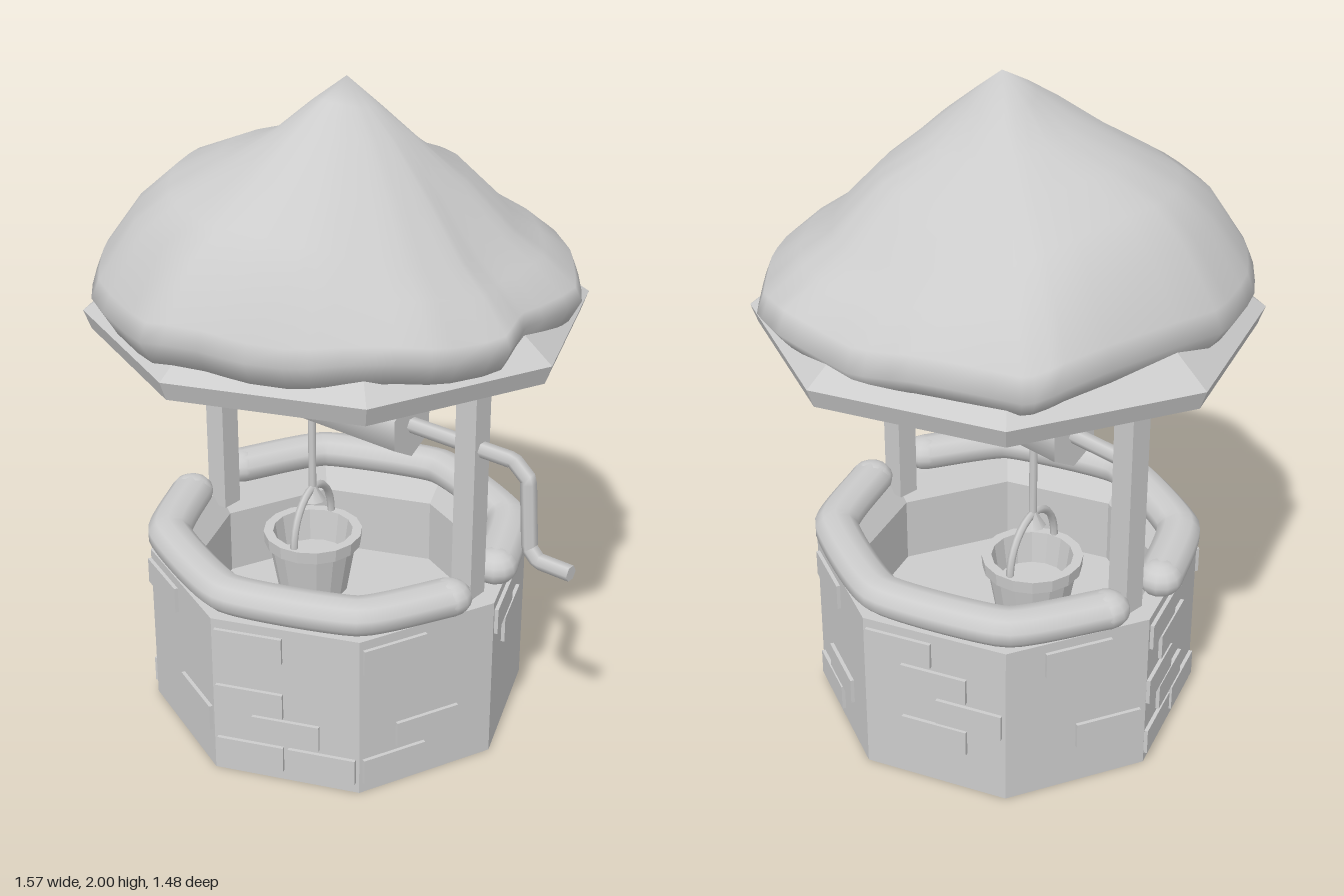
import * as THREE from 'three';

const CX = -0.05; // axis of the well
const smooth = new THREE.MeshStandardMaterial({ color: 0xcccccc, side: THREE.DoubleSide });
const flat = new THREE.MeshStandardMaterial({ color: 0xcccccc, side: THREE.DoubleSide, flatShading: true });
const flatFront = new THREE.MeshStandardMaterial({ color: 0xcccccc, flatShading: true });
const v = (x, y, z) => new THREE.Vector3(x, y, z);

function add(parent, name, geometry, material, x = 0, y = 0, z = 0) {
  const mesh = new THREE.Mesh(geometry, material);
  mesh.name = name;
  mesh.position.set(x, y, z);
  parent.add(mesh);
  return mesh;
}

const lathe = (pts, sides) =>
  new THREE.LatheGeometry(pts.map(([r, y]) => new THREE.Vector2(r, y)), sides);

// Pipe through a few points; bend 0 keeps the runs straight
const pipe = (pts, radius, sides, steps, bend = 0) =>
  new THREE.TubeGeometry(new THREE.CatmullRomCurve3(pts, false, 'catmullrom', bend), steps, radius, sides);

// Lumpy thatch: rings shrink from an uneven outline to the peak, growing rounder,
// with a different height profile towards each of the four sides
function thatchGeometry() {
  const outline = [
    [-0.11, 0.74], [0.12, 0.68], [0.33, 0.58], [0.57, 0.37], [0.65, 0.14], [0.61, 0],
    [0.6, -0.28], [0.45, -0.48], [0.3, -0.63], [0.13, -0.69], [-0.14, -0.68], [-0.32, -0.63],
    [-0.6, -0.5], [-0.65, -0.39], [-0.71, 0.14], [-0.63, 0.38], [-0.44, 0.6],
  ];
  const edge = new THREE.CatmullRomCurve3(outline.map(([x, z]) => v(x, 0, z)), true, 'catmullrom', 0.15);
  // ring scale, then height towards +x, +z, -x, -z
  const rings = [
    [0.14, 1.93, 1.95, 1.92, 1.9], [0.28, 1.86, 1.89, 1.83, 1.79], [0.5, 1.72, 1.78, 1.78, 1.73],
    [0.7, 1.58, 1.69, 1.72, 1.59], [0.83, 1.52, 1.63, 1.63, 1.53], [0.97, 1.445, 1.47, 1.48, 1.455],
    [1, 1.41, 1.42, 1.42, 1.39], [0.95, 1.345, 1.35, 1.36, 1.34], [0.75, 1.36, 1.36, 1.36, 1.36],
  ];
  const n = 51, pos = [0, 2, 0.02], idx = [];
  rings.forEach(([s, px, pz, nx, nz], k) => {
    for (let j = 0; j < n; j++) {
      const p = edge.getPoint(j / n);
      p.z -= 0.02;
      const wx = (p.x * p.x) / p.lengthSq();
      const wave = k > 4 ? 0.01 * Math.sin(j * 0.99) : 0;
      const y = wx * (p.x > 0 ? px : nx) + (1 - wx) * (p.z > 0 ? pz : nz) + wave;
      p.setLength(s * THREE.MathUtils.lerp(0.68, p.length(), s));
      pos.push(p.x, y, 0.02 + p.z);
      const j2 = (j + 1) % n, low = 1 + k * n, up = low - n;
      if (k === 0) idx.push(0, low + j, low + j2);
      else idx.push(low + j, low + j2, up + j2, low + j, up + j2, up + j);
    }
  });
  const g = new THREE.BufferGeometry();
  g.setAttribute('position', new THREE.Float32BufferAttribute(pos, 3));
  g.setIndex(idx);
  g.computeVertexNormals();
  return g;
}

export function createModel() {
  const model = new THREE.Group();
  model.name = 'well';
  const body = new THREE.Group();
  body.name = 'wellBody';
  body.position.z = -0.005;
  model.add(body);

  // Octagonal wall with a sloped inner lip and raised floor
  add(body, 'wall', lathe([[0.583, 0], [0.583, 0.52], [0.52, 0.52], [0.465, 0.45], [0.465, 0.24], [0, 0.24]], 8), flat, CX);

  // Raised bricks, open at the back: [sideways offset, row] for each of the eight faces
  const rowY = [0.075, 0.17, 0.26, 0.355, 0.45];
  const faces = [
    [[-0.11, 4], [-0.11, 2], [0, 1], [-0.11, 0], [0.11, 0]],
    [[-0.11, 4], [0, 1], [-0.11, 0]],
    [[-0.11, 4], [0, 3]],
    [[-0.1, 4], [0, 1], [-0.1, 0]],
    [[-0.11, 4], [0, 3], [0.11, 2], [0, 1]],
    [[0, 4], [0.1, 1]],
    [[-0.11, 4], [-0.02, 3], [-0.12, 2], [-0.02, 1], [-0.12, 0], [0.11, 0]],
    [[-0.12, 4], [0.11, 1]],
  ];
  const brick = new THREE.BoxGeometry(0.205, 0.082, 0.06);
  brick.setIndex(Array.from(brick.index.array).slice(0, 30));
  brick.clearGroups();
  faces.forEach((bricks, k) => {
    const side = new THREE.Group();
    side.name = 'brickFace';
    side.position.x = CX;
    side.rotation.y = Math.PI / 8 + (k * Math.PI) / 4;
    bricks.forEach(([u, row]) => add(side, 'brick', brick, flatFront, u, rowY[row], 0.52));
    body.add(side);
  });

  // Rounded rim in two halves, leaving gaps for the posts
  for (const s of [1, -1]) {
    const rim = new THREE.Group();
    rim.name = s > 0 ? 'frontRim' : 'backRim';
    const end = s > 0 ? 0.125 : -0.105;
    const path = [v(-0.51, 0, end), v(-0.37, 0, 0.37 * s), v(0, 0, 0.512 * s), v(0.37, 0, 0.37 * s), v(0.51, 0, end)];
    add(rim, 'rimRoll', pipe(path, 0.068, 10, 48, 0.25), smooth);
    for (const e of [-1, 1]) add(rim, 'rimEnd', new THREE.SphereGeometry(0.068, 12, 8), smooth, 0.51 * e, 0, end);
    rim.scale.y = 0.78;
    rim.position.set(CX, 0.572, 0);
    body.add(rim);
  }

  // Posts
  for (const s of [-1, 1]) add(body, 'post', new THREE.BoxGeometry(0.07, 0.79, 0.07), flat, CX + s * 0.487, 0.885, 0);

  // Roof board with a low cone under the thatch
  add(body, 'roofBoard', lathe([[0, 1.263], [0.717, 1.263], [0.738, 1.32], [0, 1.85]], 8), flat, CX);
  add(model, 'thatch', thatchGeometry(), smooth);

  // Winding drum with a corner upwards, axle and crank
  const drum = new THREE.CylinderGeometry(0.095, 0.095, 0.545, 6);
  drum.rotateY(Math.PI / 2).rotateZ(Math.PI / 2);
  add(body, 'drum', drum, smooth, CX, 0.995, 0);
  add(body, 'crank', pipe([v(-0.51, 1.002, 0), v(0.58, 1.002, 0), v(0.63, 0.96, 0), v(0.645, 0.745, 0),
    v(0.675, 0.715, 0), v(0.785, 0.715, 0)], 0.024, 6, 120), smooth);
  const cap = add(body, 'crankEnd', new THREE.CircleGeometry(0.024, 6), smooth, 0.785, 0.715, 0);
  cap.rotation.y = Math.PI / 2;

  // Bucket on its rope
  const bucket = new THREE.Group();
  bucket.name = 'bucket';
  bucket.position.x = -0.16;
  add(bucket, 'rope', new THREE.CylinderGeometry(0.012, 0.012, 0.25, 8), smooth, 0, 0.785, 0);
  add(bucket, 'knot', new THREE.ConeGeometry(0.04, 0.065, 8), smooth, 0, 0.66, 0);
  add(bucket, 'pail', lathe([[0, 0.32], [0.11, 0.32], [0.138, 0.48], [0.152, 0.48], [0.155, 0.52],
    [0.125, 0.52], [0.11, 0.42], [0, 0.42]], 16), flat);
  const bail = add(bucket, 'bail', new THREE.TorusGeometry(0.135, 0.012, 6, 16, Math.PI), smooth, 0, 0.52, 0);
  bail.rotation.y = Math.PI / 2 + 0.26;
  bail.scale.y = 1.08;
  body.add(bucket);

  return model;
}
